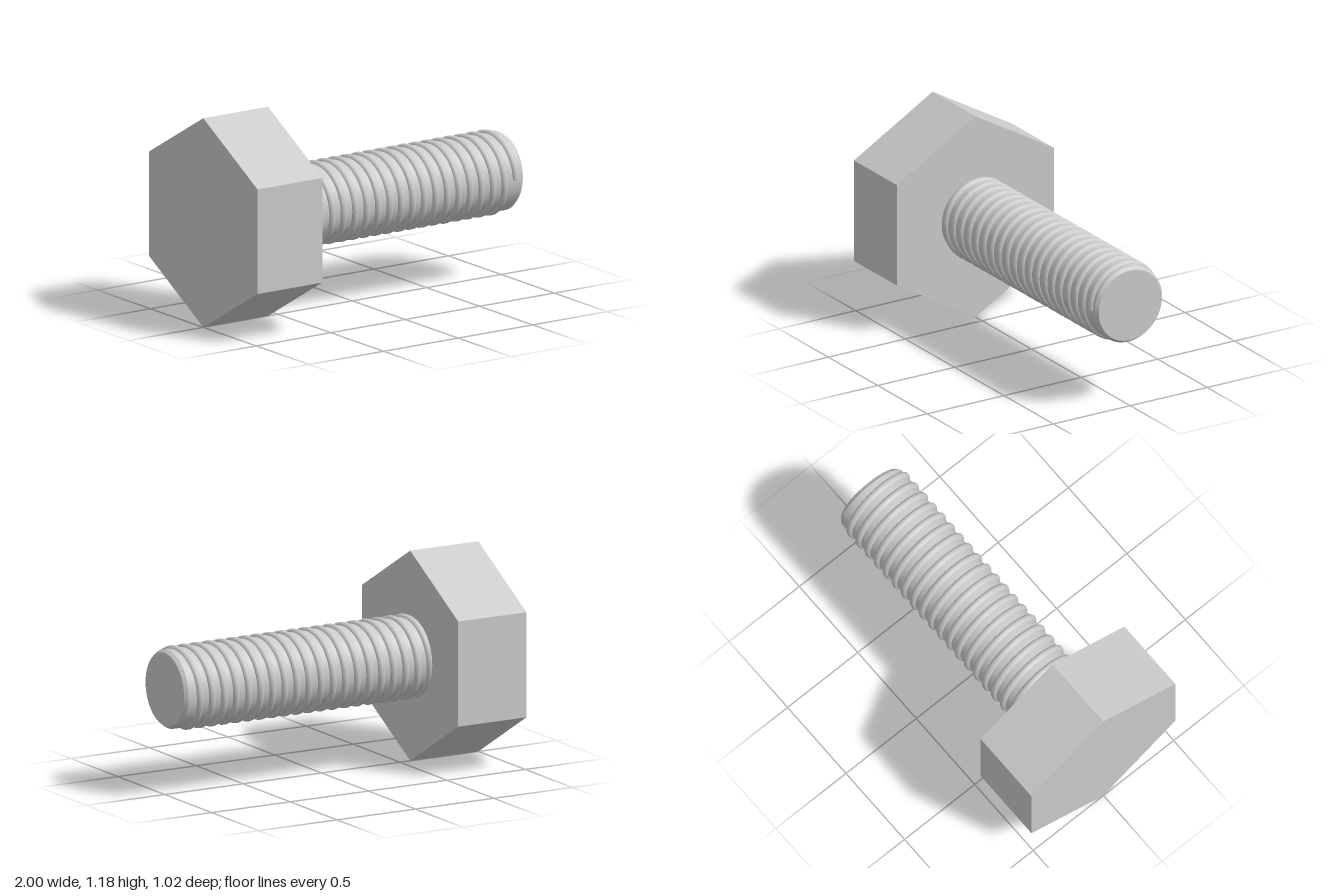
import * as THREE from 'three';
import { toCreasedNormals } from 'three/addons/utils/BufferGeometryUtils.js';

const AXIS_Y = 0.593;      // height of the bolt axis
const HEAD_R = 0.591;      // corner radius of the hexagon
const HEAD_END = -0.565;   // inner face of the head
const CORE_R = 0.22;
const PITCH = 0.0771;
const TURNS = 19.9;
const THREAD_X = 0.944;    // where the thread runs out
const THREAD_R = 0.213;
const WIRE_R = 0.023;

// Helix from the tip back into the head
class Helix extends THREE.Curve {
  getPoint(t, target = new THREE.Vector3()) {
    const a = t * TURNS * Math.PI * 2;
    return target.set(THREAD_X - t * TURNS * PITCH, THREAD_R * Math.sin(a), THREAD_R * Math.cos(a));
  }
}

export function createModel() {
  const bolt = new THREE.Group();
  bolt.name = 'bolt';
  const material = new THREE.MeshStandardMaterial({ color: 0xcccccc });
  const add = (name, geometry) => {
    const mesh = new THREE.Mesh(geometry, material);
    mesh.name = name;
    mesh.position.y = AXIS_Y;
    bolt.add(mesh);
  };

  // Hexagonal head, corners up and down
  const headLength = HEAD_END + 1;
  const head = new THREE.CylinderGeometry(HEAD_R, HEAD_R, headLength, 6, 1, false, Math.PI / 6);
  head.rotateZ(-Math.PI / 2).translate(-1 + headLength / 2, 0, 0);
  add('head', toCreasedNormals(head, 0.5));

  // Shank with a chamfered tip
  const profile = [[0, HEAD_END - 0.02], [CORE_R, HEAD_END - 0.02], [CORE_R, 0.98], [0.205, 1], [0, 1]];
  const shank = new THREE.LatheGeometry(profile.map(([r, h]) => new THREE.Vector2(r, h)), 64);
  shank.rotateZ(-Math.PI / 2);
  add('shank', toCreasedNormals(shank, 0.5));

  // Rounded thread wound around the shank
  add('thread', new THREE.TubeGeometry(new Helix(), 1200, WIRE_R, 12, false));

  // Flat run-out face of the thread
  const runOut = new THREE.CircleGeometry(WIRE_R, 12);
  runOut.rotateX(Math.PI / 2).translate(THREAD_X, 0, THREAD_R);
  add('threadEnd', runOut);

  return bolt;
}
